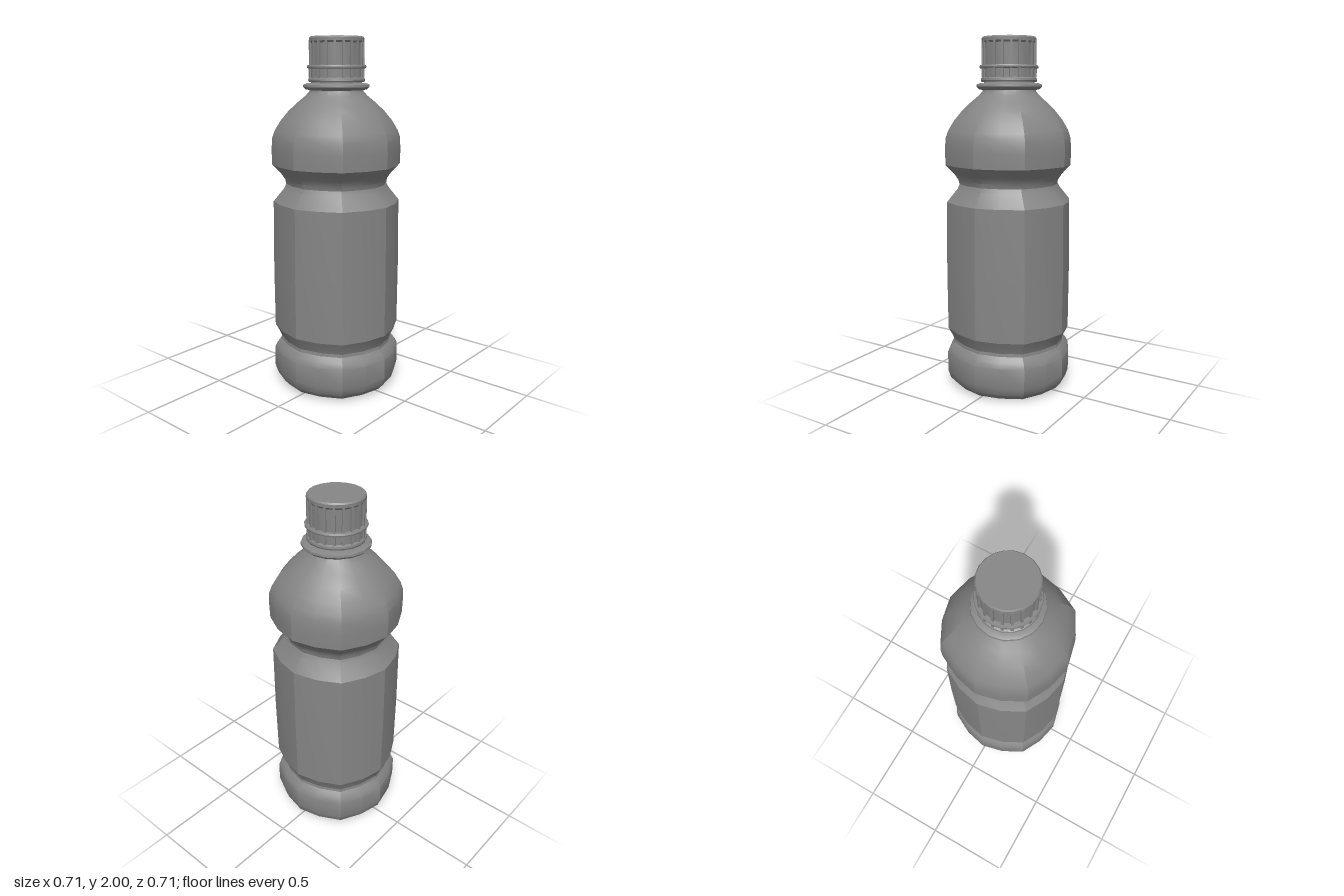
import * as THREE from 'three';
import { toCreasedNormals } from 'three/addons/utils/BufferGeometryUtils.js';

const plastic = new THREE.MeshStandardMaterial({ color: 0x868686 });
plastic.name = 'grey plastic';

const SIDES = 16;

// Turned part from [radius, height] pairs, listed from bottom to top
function turned(name, profile, crease, sides = SIDES, shape = null) {
  const points = profile.map(([r, y]) => new THREE.Vector2(r, y));
  const geometry = new THREE.LatheGeometry(points, sides);
  if (shape) shape(geometry.attributes.position);
  const mesh = new THREE.Mesh(toCreasedNormals(geometry, crease), plastic);
  mesh.name = name;
  return mesh;
}

// Push the wide rings towards a soft octagon, leaving the neck round
function softOctagon(position) {
  const factors = [1, 0.987, 1.028, 0.987];
  for (let i = 0; i < position.count; i++) {
    const x = position.getX(i), z = position.getZ(i);
    const step = Math.round(Math.atan2(x, z) / (Math.PI * 2) * SIDES) + SIDES;
    const amount = THREE.MathUtils.smoothstep(Math.hypot(x, z), 0.14, 0.28);
    const k = 1 + (factors[step % 4] - 1) * amount;
    position.setX(i, x * k);
    position.setZ(i, z * k);
  }
}

export function createModel() {
  const bottle = new THREE.Group();
  bottle.name = 'bottle';

  // Body with foot, straight label panel, waist, shoulder and neck
  bottle.add(turned('body', [
    [0, 0], [0.28, 0], [0.315, 0.015], [0.342, 0.045], [0.357, 0.09],
    [0.357, 0.205], [0.343, 0.235], [0.32, 0.262], [0.318, 0.28], [0.328, 0.305],
    [0.352, 0.35], [0.354, 0.7], [0.35, 1.09],
    [0.29, 1.165], [0.279, 1.19], [0.284, 1.215], [0.305, 1.247], [0.354, 1.3],
    [0.356, 1.38], [0.352, 1.45], [0.338, 1.49], [0.305, 1.545], [0.262, 1.598],
    [0.215, 1.645], [0.172, 1.682], [0.152, 1.705], [0.145, 1.73], [0.14, 1.78],
  ], 0.45, SIDES, softOctagon));

  // Flange around the neck
  bottle.add(turned('neckRing', [
    [0.14, 1.71], [0.172, 1.717], [0.186, 1.73], [0.184, 1.742], [0.165, 1.75], [0.135, 1.752],
  ], 0.6));

  // Tamper band under the cap
  bottle.add(turned('tamperBand', [
    [0.13, 1.757], [0.154, 1.757], [0.158, 1.765], [0.156, 1.776], [0.147, 1.782],
    [0.147, 1.828], [0.163, 1.831], [0.165, 1.839], [0.161, 1.847], [0.14, 1.849],
  ], 0.6, 20));

  // Screw cap with a flat, slightly bevelled top
  bottle.add(turned('cap', [
    [0.143, 1.84], [0.144, 1.965], [0.152, 1.975], [0.152, 1.992], [0.146, 2], [0, 2],
  ], 0.6, 20));

  // Upright grip ribs round the cap and short ones round the band
  const ribs = new THREE.Group();
  ribs.name = 'gripRibs';
  const capRib = new THREE.BoxGeometry(0.013, 0.14, 0.016);
  const bandRib = new THREE.BoxGeometry(0.014, 0.05, 0.014);
  for (let i = 0; i < 20; i++) {
    const angle = i / 20 * Math.PI * 2;
    for (const [geometry, r, y] of [[capRib, 0.1445, 1.912], [bandRib, 0.147, 1.805]]) {
      const rib = new THREE.Mesh(geometry, plastic);
      rib.name = 'rib';
      rib.position.set(Math.sin(angle) * r, y, Math.cos(angle) * r);
      rib.rotation.y = angle;
      ribs.add(rib);
    }
  }
  bottle.add(ribs);

  return bottle;
}
